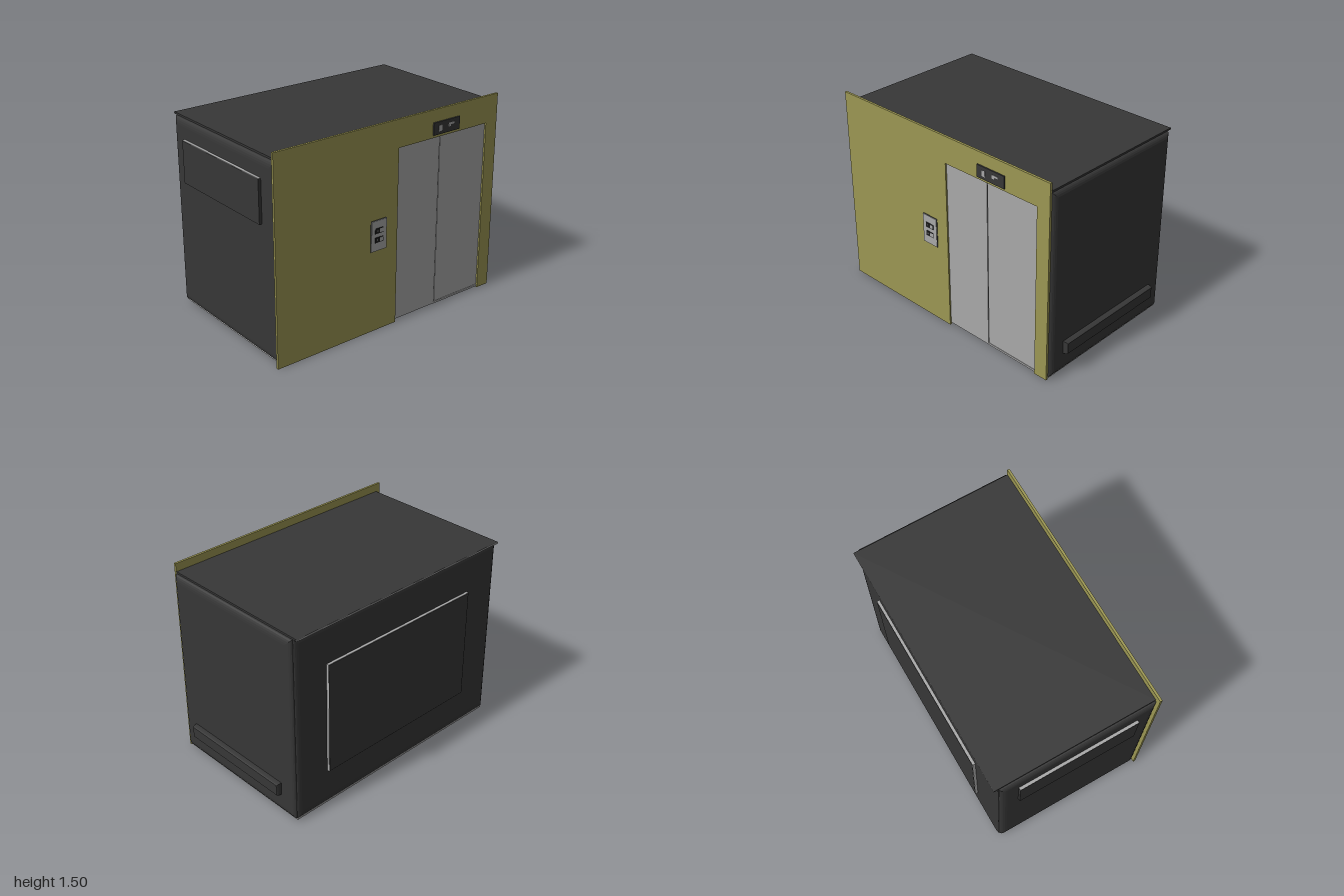
import * as THREE from 'three';

const material = (name, color) => {
  const m = new THREE.MeshStandardMaterial({ color });
  m.name = name;
  return m;
};

export function createModel() {
  const olive = material('olive wall', 0x9c9753);
  const steel = material('steel', 0xa9a9a9);
  const dark = material('dark metal', 0x373737);
  const black = material('black trim', 0x1c1c1c);
  const root = new THREE.Group();
  root.name = 'elevator';

  // Box given by its minimum and maximum on each axis
  const box = (name, mat, [x0, x1], [y0, y1], [z0, z1], parent = root) => {
    const mesh = new THREE.Mesh(new THREE.BoxGeometry(x1 - x0, y1 - y0, z1 - z0), mat);
    mesh.position.set((x0 + x1) / 2, (y0 + y1) / 2, (z0 + z1) / 2);
    mesh.name = name;
    parent.add(mesh);
    return mesh;
  };

  // Panel with softly rounded rim, facing +z before it is turned about y
  const cushion = (name, mat, w, h, depth, rim, pos, turn) => {
    const s = new THREE.Shape();
    s.moveTo(-w / 2, -h / 2);
    s.lineTo(w / 2, -h / 2);
    s.lineTo(w / 2, h / 2);
    s.lineTo(-w / 2, h / 2);
    const g = new THREE.ExtrudeGeometry(s, {
      depth: 0.001, bevelEnabled: true, bevelThickness: depth,
      bevelSize: rim, bevelOffset: -rim, bevelSegments: 5,
    });
    const mesh = new THREE.Mesh(g, mat);
    mesh.position.set(...pos);
    mesh.rotation.y = turn;
    mesh.name = name;
    root.add(mesh);
  };

  // Cabin
  const cx = [-0.953, 0.932];
  box('cabinCore', dark, cx, [0.03, 1.427], [-0.575, 0.583]);
  box('floor', steel, cx, [0.015, 0.03], [-0.578, 0.583]);
  box('roof', dark, cx, [1.427, 1.44], [-0.61, 0.583]);
  box('roofBackEdge', steel, cx, [1.428, 1.439], [-0.612, -0.61]);
  cushion('leftWall', dark, 1.158, 1.395, 0.025, 0.05, [0.932, 0.729, 0.004], Math.PI / 2);
  cushion('rightWall', dark, 1.158, 1.395, 0.025, 0.05, [-0.953, 0.729, 0.004], -Math.PI / 2);
  cushion('backWall', dark, 1.885, 1.395, 0.013, 0.05, [-0.01, 0.729, -0.575], Math.PI);

  // Handrail, side panel and back panel
  cushion('handrail', dark, 0.915, 0.096, 0.038, 0.008, [0.957, 0.223, 0.006], Math.PI / 2);
  box('sidePanel', dark, [-1, -0.975], [0.98, 1.288], [-0.443, 0.45]);
  box('sidePanelTopEdge', steel, [-0.999, -0.975], [1.288, 1.291], [-0.443, 0.45]);
  box('backPanelFrame', steel, [-0.67, 0.67], [0.298, 1.143], [-0.608, -0.58]);
  box('backPanelFace', dark, [-0.667, 0.667], [0.301, 1.14], [-0.61, -0.608]);

  // Front wall around the door opening
  const wall = new THREE.Shape();
  [[-0.99, 0], [0.02, 0], [0.02, 1.3], [0.83, 1.3], [0.83, 0.01], [0.935, 0.01], [0.935, 1.5], [-0.99, 1.5]]
    .forEach(([x, y], i) => (i ? wall.lineTo(x, y) : wall.moveTo(x, y)));
  const front = new THREE.Mesh(new THREE.ExtrudeGeometry(wall, { depth: 0.017, bevelEnabled: false }), olive);
  front.position.z = 0.583;
  front.name = 'frontWall';
  root.add(front);

  // Sliding doors and sill
  box('doorGap', black, [0.021, 0.829], [0.03, 1.299], [0.582, 0.585]);
  box('firstDoor', steel, [0.022, 0.393], [0.018, 1.298], [0.583, 0.591]);
  box('secondDoor', steel, [0.4, 0.828], [0.034, 1.298], [0.583, 0.59]);
  box('doorSill', steel, [0.393, 0.83], [0.015, 0.03], [0.583, 0.59]);

  // Call buttons
  const call = new THREE.Group();
  call.name = 'callPanel';
  root.add(call);
  box('callRim', dark, [-0.216, -0.079], [0.608, 0.834], [0.6, 0.604], call);
  box('callPlate', steel, [-0.213, -0.082], [0.611, 0.831], [0.6, 0.608], call);
  for (const y of [0.757, 0.691]) {
    box('button', black, [-0.183, -0.112], [y - 0.019, y + 0.019], [0.608, 0.611], call);
    box('buttonMark', steel, [-0.143, -0.115], [y - 0.014, y + 0.014], [0.611, 0.612], call);
    box('buttonDot', steel, [-0.168, -0.16], [y - 0.003, y + 0.005], [0.611, 0.612], call);
  }

  // Floor indicator above the doors
  const sign = new THREE.Group();
  sign.name = 'floorIndicator';
  root.add(sign);
  box('indicatorCase', dark, [0.322, 0.562], [1.32, 1.41], [0.6, 0.61], sign);
  box('indicatorMark', steel, [0.368, 0.396], [1.342, 1.384], [0.61, 0.612], sign);
  box('indicatorBar', steel, [0.457, 0.507], [1.37, 1.385], [0.61, 0.612], sign);
  box('indicatorFoot', steel, [0.457, 0.477], [1.357, 1.37], [0.61, 0.612], sign);
  return root;
}
